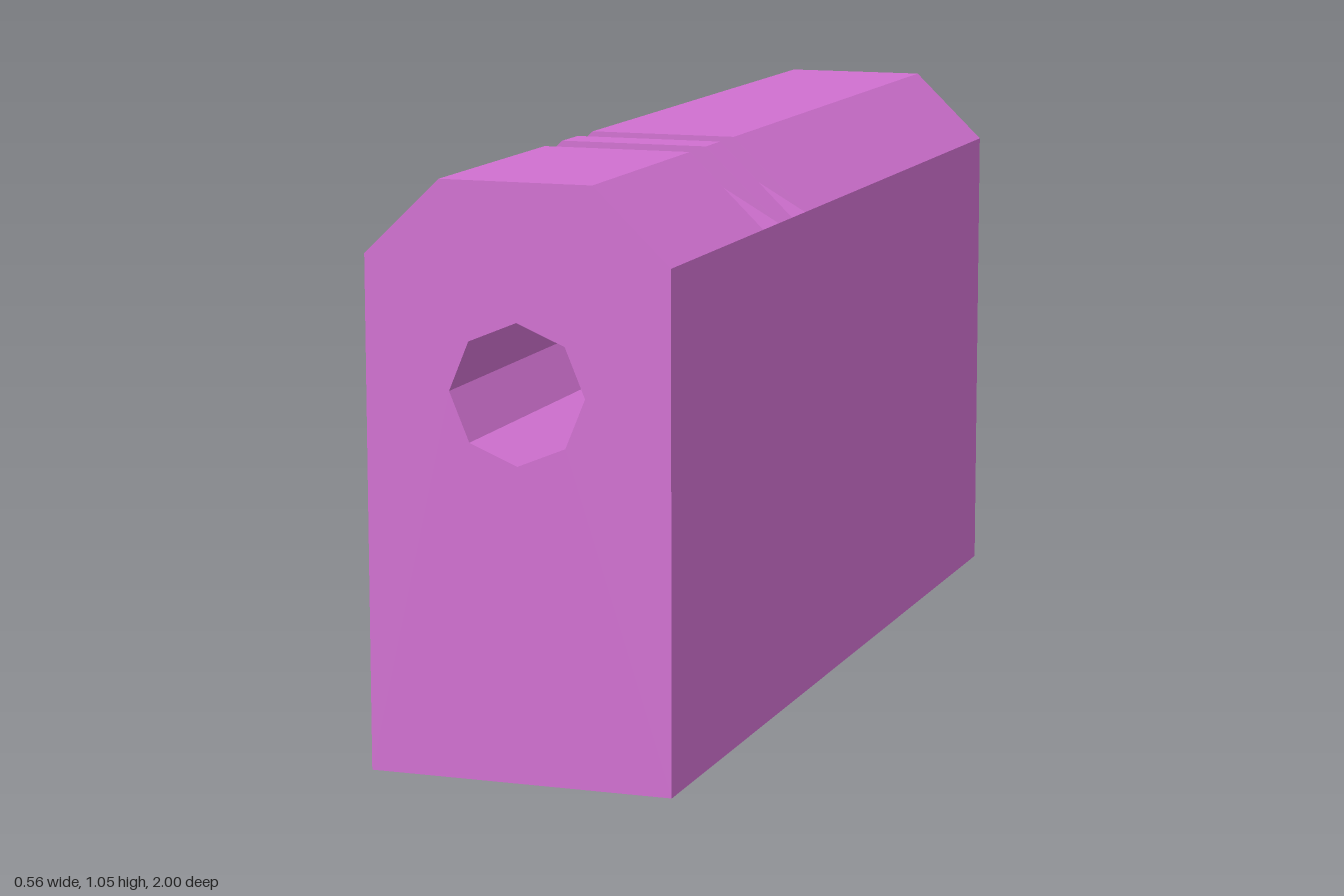
import * as THREE from 'three';

const HALF = 0.28, TOP_HALF = 0.14, SHOULDER = 0.92, TOP = 1.055, GROOVE_TOP = 1.0;
const HOLE_Y = 0.688, HOLE_R = 0.125, HOLE_DEPTH = 0.8;

// Chamfered cross-section, counterclockwise from the front
function profile(top) {
  return [[-HALF, 0], [HALF, 0], [HALF, SHOULDER], [TOP_HALF, top], [-TOP_HALF, top], [-HALF, SHOULDER]];
}

// Skin between cross-sections ordered front to back; empty triangles are skipped
function loft(stations) {
  const pos = [], area = new THREE.Triangle();
  const add = (...tri) => {
    area.set(...tri);
    if (area.getArea() > 1e-7) tri.forEach((p) => pos.push(p.x, p.y, p.z));
  };
  const rings = stations.map(([z, top]) => profile(top).map(([x, y]) => new THREE.Vector3(x, y, z)));
  for (let s = 0; s < rings.length - 1; s++) {
    const front = rings[s], back = rings[s + 1];
    for (let i = 0; i < front.length; i++) {
      const j = (i + 1) % front.length;
      add(front[i], back[i], back[j]);
      add(front[i], back[j], front[j]);
    }
  }
  const geo = new THREE.BufferGeometry();
  geo.setAttribute('position', new THREE.Float32BufferAttribute(pos, 3));
  geo.computeVertexNormals();
  return geo;
}

function endShape() {
  return new THREE.Shape(profile(TOP).map(([x, y]) => new THREE.Vector2(x, y)));
}

export function createModel() {
  const model = new THREE.Group();
  const mat = new THREE.MeshStandardMaterial({ color: 0xd070d0, flatShading: true });
  const boreMat = mat.clone();
  boreMat.side = THREE.DoubleSide;
  const part = (name, geo, material = mat) => {
    const mesh = new THREE.Mesh(geo, material);
    mesh.name = name;
    model.add(mesh);
    return mesh;
  };

  // Long body with two shallow grooves across the top
  const stations = [[1, TOP]];
  for (const [near, far] of [[0.5, 0.41], [0.33, 0.25]]) {
    stations.push([near, TOP], [near, GROOVE_TOP], [far, GROOVE_TOP], [far, TOP]);
  }
  stations.push([-1, TOP]);
  part('body', loft(stations));

  // Front face with the octagonal opening
  const frontShape = endShape();
  const hole = Array.from({ length: 8 }, (_, i) => {
    const a = (-i * Math.PI) / 4;
    return new THREE.Vector2(HOLE_R * Math.cos(a), HOLE_Y + HOLE_R * Math.sin(a));
  });
  frontShape.holes.push(new THREE.Path(hole));
  part('frontFace', new THREE.ShapeGeometry(frontShape)).position.z = 1;

  // Closed back face
  const back = part('backFace', new THREE.ShapeGeometry(endShape()));
  back.rotation.y = Math.PI;
  back.position.z = -1;

  // Bore walls and its end
  const bore = new THREE.CylinderGeometry(HOLE_R, HOLE_R, HOLE_DEPTH, 8, 1, true).rotateX(Math.PI / 2);
  part('boreWall', bore, boreMat).position.set(0, HOLE_Y, 1 - HOLE_DEPTH / 2);
  part('boreEnd', new THREE.CircleGeometry(HOLE_R, 8)).position.set(0, HOLE_Y, 1 - HOLE_DEPTH);

  return model;
}
